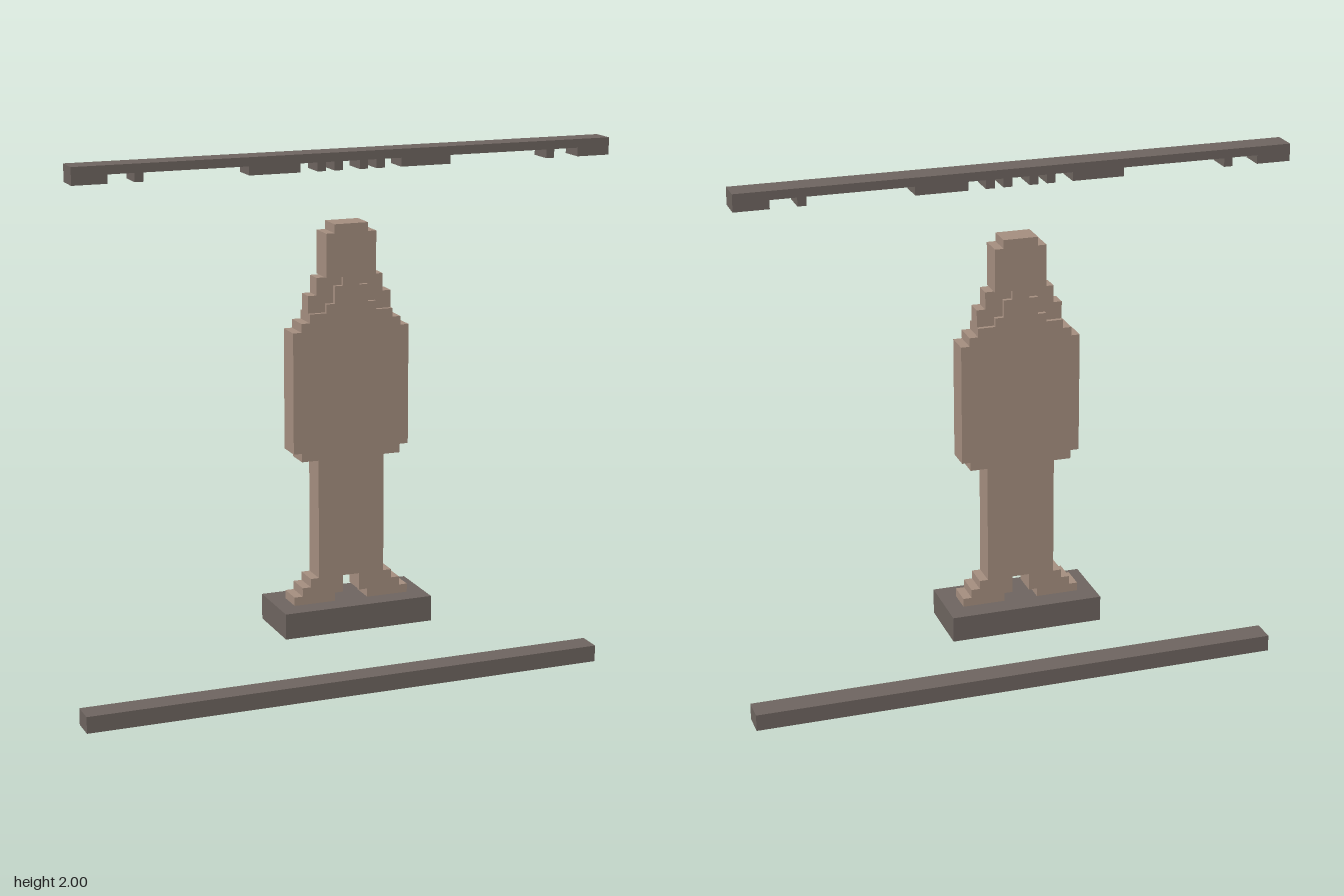
import * as THREE from 'three';

const U = 1 / 32; // one grid cell

const stone = new THREE.MeshStandardMaterial({ color: 0x6e6560 });
stone.name = 'dark stone';
const clay = new THREE.MeshStandardMaterial({ color: 0xa58f80 });
clay.name = 'pale clay';

// Stepped edge: each step is [half width, bottom, top], in grid cells
const stairs = (steps) => steps.flatMap(([x, y0, y1]) => [[x, y0], [x, y1]]);
const mirror = (points) => points.map(([x, y]) => [-x, y]).reverse();

function slab(name, points, depth, material) {
  const shape = new THREE.Shape(points.map(([x, y]) => new THREE.Vector2(x * U, y * U)));
  const geometry = new THREE.ExtrudeGeometry(shape, { depth: depth * U, bevelEnabled: false });
  geometry.translate(0, 0, -depth * U / 2);
  const mesh = new THREE.Mesh(geometry, material);
  mesh.name = name;
  return mesh;
}

function box(name, x0, x1, y0, y1, depth, material) {
  const mesh = new THREE.Mesh(
    new THREE.BoxGeometry((x1 - x0) * U, (y1 - y0) * U, depth * U), material);
  mesh.position.set((x0 + x1) / 2 * U, (y0 + y1) / 2 * U, 0);
  mesh.name = name;
  return mesh;
}

export function createModel() {
  const model = new THREE.Group();
  model.name = 'framedStatue';

  // Ground bar and pedestal
  model.add(box('groundBar', -32, 32, 0, 2, 3, stone));
  model.add(box('pedestal', -9, 9, 9, 12, 8, stone));

  // Lintel with hanging teeth, outlined as one piece
  const teeth = [[1, 2], [3, 4], [6, 12], [24, 25], [28, 32]];
  const underside = teeth.flatMap(([a, b]) => [[a, 63], [a, 62], [b, 62], [b, 63]]);
  underside.pop(); // the last tooth is flush with the end
  const lintelHalf = [...underside, [32, 64]];
  model.add(slab('lintel', [...lintelHalf, ...mirror(lintelHalf)], 3, stone));

  // Standing figure: inner leg gap, feet, legs, torso, neck and head
  const figure = new THREE.Group();
  figure.name = 'figure';
  const half = [
    [1, 15], [1, 13], [2, 13], [2, 12],
    ...stairs([
      [7, 12, 13], [6, 13, 14], [5, 14, 15], [4, 15, 29],
      [6, 29, 45], [5, 45, 46], [3, 46, 47], [2, 47, 49], [1, 49, 50],
      [3, 50, 55], [2, 55, 56],
    ]),
  ];
  figure.add(slab('body', [...half, ...mirror(half)], 3, clay));

  // Arms and the set-back shoulders, on both sides
  const shoulder = [
    ...stairs([[5, 46, 48], [4, 48, 50]]),
    ...stairs([[3, 46, 47], [2, 47, 49], [1, 49, 50]]).reverse(),
  ];
  figure.add(box('leftArm', 6, 7, 30, 44, 3, clay));
  figure.add(box('rightArm', -7, -6, 30, 44, 3, clay));
  figure.add(slab('leftShoulder', shoulder, 2, clay));
  figure.add(slab('rightShoulder', mirror(shoulder), 2, clay));
  model.add(figure);

  return model;
}
